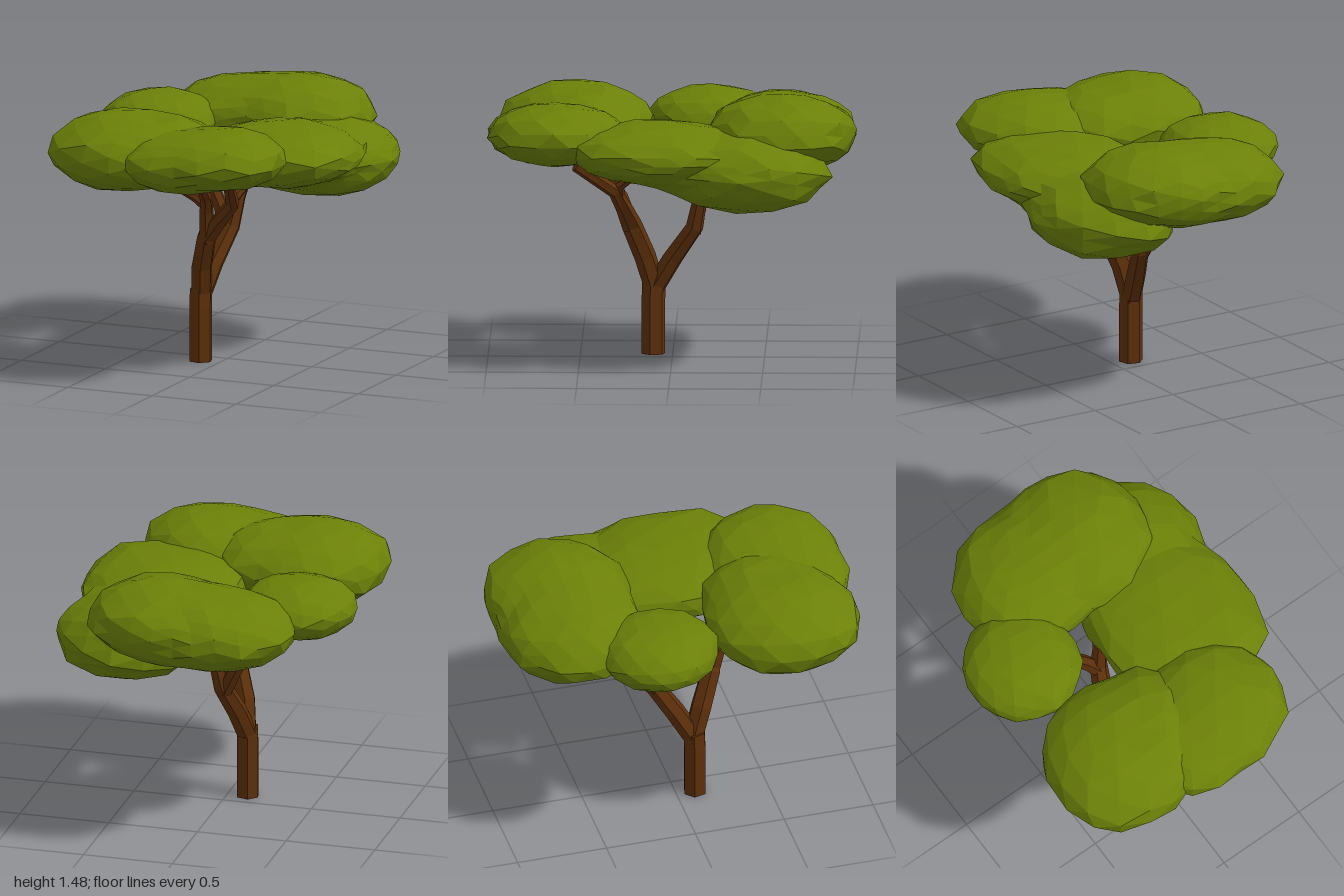
import * as THREE from 'three';

const bark = new THREE.MeshStandardMaterial({ color: 0x5d300b, flatShading: true });
const leaf = new THREE.MeshStandardMaterial({ color: 0x6b8008, flatShading: true });

// Repeatable value in -1..1 for a direction, equal for coincident vertices
function noise(v, seed) {
  const q = (n) => Math.round(n * 1000) / 1000;
  const s = Math.sin(q(v.x) * 127.1 + q(v.y) * 311.7 + q(v.z) * 74.7 + seed * 19.3) * 43758.5453;
  return (s - Math.floor(s)) * 2 - 1;
}

// Distance along a ray to the far side of an ellipsoid lobe [x, y, z, rx, ry, rz], or 0 if missed
function reach(origin, dir, [x, y, z, rx, ry, rz]) {
  const radii = new THREE.Vector3(rx, ry, rz);
  const o = origin.clone().sub(new THREE.Vector3(x, y, z)).divide(radii);
  const d = dir.clone().divide(radii);
  const a = d.dot(d);
  const b = o.dot(d);
  const disc = b * b - a * (o.dot(o) - 1);
  return disc < 0 ? 0 : (-b + Math.sqrt(disc)) / a;
}

// Faceted, slightly irregular leaf mass wrapped around overlapping lobes
function clump(name, seed, detail, lobes) {
  const centre = new THREE.Vector3();
  for (const [x, y, z] of lobes) centre.add(new THREE.Vector3(x, y, z).divideScalar(lobes.length));
  const geo = new THREE.IcosahedronGeometry(1, detail);
  const pos = geo.attributes.position;
  const v = new THREE.Vector3();
  for (let i = 0; i < pos.count; i++) {
    v.fromBufferAttribute(pos, i);
    const k = 1 + 0.03 * noise(v, seed);
    v.multiply(new THREE.Vector3(...lobes[0].slice(3)));
    v.multiplyScalar(k * Math.max(...lobes.map((lobe) => reach(centre, v, lobe))));
    pos.setXYZ(i, v.x, v.y, v.z);
  }
  geo.computeVertexNormals();
  const mesh = new THREE.Mesh(geo, leaf);
  mesh.name = name;
  mesh.position.copy(centre);
  return mesh;
}

// Tapered six-sided limb through points given as [x, y, z, radius]
function limb(name, points) {
  const n = points.length;
  const geo = new THREE.CylinderGeometry(1, 1, 1, 6, n - 1, false, Math.PI / 12);
  const centres = points.map((p) => new THREE.Vector3(p[0], p[1], p[2]));
  const turns = centres.map((c, i) => {
    const dir = centres[Math.min(i + 1, n - 1)].clone().sub(centres[Math.max(i - 1, 0)]).normalize();
    return new THREE.Quaternion().setFromUnitVectors(new THREE.Vector3(0, 1, 0), dir);
  });
  const pos = geo.attributes.position;
  const v = new THREE.Vector3();
  for (let i = 0; i < pos.count; i++) {
    v.fromBufferAttribute(pos, i);
    const ring = Math.round((v.y + 0.5) * (n - 1));
    v.setY(0).multiplyScalar(points[ring][3]).applyQuaternion(turns[ring]).add(centres[ring]);
    pos.setXYZ(i, v.x, v.y, v.z);
  }
  geo.computeVertexNormals();
  const mesh = new THREE.Mesh(geo, bark);
  mesh.name = name;
  return mesh;
}

export function createModel() {
  const tree = new THREE.Group();
  tree.name = 'tree';

  // Trunk and the two main limbs, each forking into twigs
  const wood = new THREE.Group();
  wood.name = 'wood';
  wood.add(
    limb('trunk', [[-0.112, 0, 0.105, 0.066], [-0.112, 0.3, 0.105, 0.066], [-0.111, 0.4, 0.102, 0.065]]),
    limb('frontLimb', [[-0.112, 0.34, 0.09, 0.058], [-0.085, 0.54, 0.15, 0.06], [-0.025, 0.72, 0.22, 0.056],
      [0.07, 0.83, 0.26, 0.045], [0.17, 0.94, 0.31, 0.038], [0.24, 1.09, 0.52, 0.03]]),
    limb('frontTwig', [[0.14, 0.91, 0.29, 0.034], [0.17, 0.97, 0.28, 0.028], [0.2, 1.02, 0.21, 0.02]]),
    limb('frontMiddleTwig', [[-0.02, 0.7, 0.22, 0.048], [0.0, 0.88, 0.28, 0.04], [0.02, 0.96, 0.33, 0.034],
      [0.05, 1.1, 0.5, 0.025]]),
    limb('frontInnerTwig', [[0.01, 0.9, 0.29, 0.028], [-0.05, 0.96, 0.32, 0.026], [-0.14, 1.06, 0.45, 0.022]]),
    limb('backLimb', [[-0.112, 0.36, 0.1, 0.058], [-0.08, 0.53, 0.0, 0.056], [-0.03, 0.71, -0.12, 0.05],
      [0.0, 0.87, -0.15, 0.04], [0.05, 1.1, -0.24, 0.028]]),
    limb('backLeftLimb', [[-0.04, 0.68, -0.11, 0.046], [-0.1, 0.8, -0.14, 0.042], [-0.18, 0.94, -0.17, 0.037],
      [-0.35, 1.07, -0.22, 0.028], [-0.42, 1.14, -0.24, 0.022]]),
    limb('backLeftTwig', [[-0.18, 0.92, -0.17, 0.03], [-0.165, 1.0, -0.22, 0.026], [-0.15, 1.12, -0.38, 0.02]]),
  );
  tree.add(wood);

  // Ring of leaf masses with an open gap in the middle
  const canopy = new THREE.Group();
  canopy.name = 'canopy';
  canopy.add(
    clump('backClump', 1, 3, [[-0.15, 1.235, -0.6, 0.42, 0.2, 0.4], [0.17, 1.27, -0.6, 0.41, 0.205, 0.4],
      [0.01, 1.265, -0.6, 0.45, 0.19, 0.385], [0, 1.2, -0.62, 0.45, 0.16, 0.36]]),
    clump('leftClump', 3, 2, [[-0.485, 1.25, -0.2, 0.325, 0.16, 0.33]]),
    clump('frontLeftClump', 4, 2, [[-0.37, 1.235, 0.53, 0.42, 0.215, 0.43], [-0.2, 1.245, 0.5, 0.4, 0.19, 0.37]]),
    clump('frontRightClump', 5, 2, [[0.21, 1.26, 0.62, 0.4, 0.165, 0.38], [0.03, 1.235, 0.65, 0.34, 0.165, 0.36]]),
    clump('rightClump', 6, 3, [[0.35, 1.19, 0.08, 0.445, 0.165, 0.48], [0.4, 1.085, -0.41, 0.405, 0.225, 0.43],
      [0.32, 1.14, -0.14, 0.4, 0.19, 0.35], [0.38, 1.08, -0.5, 0.34, 0.2, 0.36],
      [0.48, 1.2, 0.24, 0.28, 0.14, 0.29]]),
  );
  tree.add(canopy);

  return tree;
}
